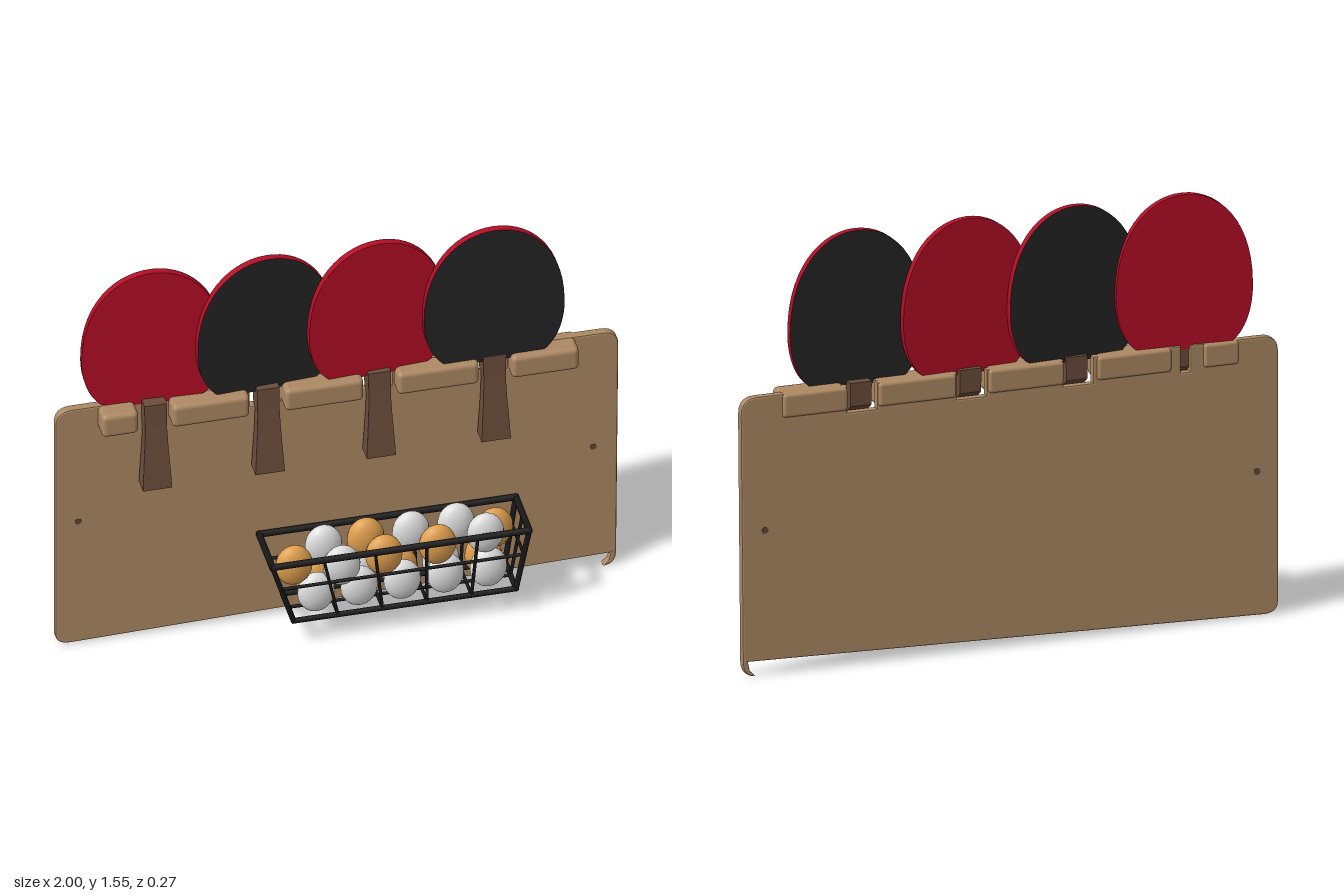
import * as THREE from 'three';
import { RoundedBoxGeometry } from 'three/addons/geometries/RoundedBoxGeometry.js';

const mat = (name, color) => {
  const m = new THREE.MeshStandardMaterial({ color });
  m.name = name;
  return m;
};

export function createModel() {
  const model = new THREE.Group();
  model.name = 'paddleRack';
  const wood = mat('wood', 0xad8963);
  const handleWood = mat('handle wood', 0x6a4d3b);
  const red = mat('red rubber', 0xb30d24);
  const black = mat('black rubber', 0x242424);
  const wire = mat('wire', 0x181818);
  const white = mat('white ball', 0xdedede);
  const orange = mat('orange ball', 0xdf9f4e);
  const hole = mat('screw hole', 0x5f4a36);

  const add = (name, geometry, material, parent = model, x = 0, y = 0, z = 0) => {
    const mesh = new THREE.Mesh(geometry, material);
    mesh.name = name;
    mesh.position.set(x, y, z);
    parent.add(mesh);
    return mesh;
  };

  // Paddles: centre x, blade z, blade turn, face colour, slot width in the board
  const paddles = [
    { x: -0.655, z: -0.097, turn: -0.045, face: red, slot: 0.035 },
    { x: -0.255, z: -0.08, turn: 0.065, face: black, slot: 0.11 },
    { x: 0.14, z: -0.075, turn: 0.065, face: red, slot: 0.11 },
    { x: 0.548, z: -0.058, turn: 0.01, face: black, slot: 0.11 },
  ];

  // Back board with slots along the top, slanted bottom edge and a corner hook
  const board = new THREE.Shape();
  board.moveTo(-0.95, 0.005);
  board.lineTo(0.972, 0.055);
  board.lineTo(0.965, 0.022);
  board.lineTo(0.945, 0.002);
  board.quadraticCurveTo(0.988, 0, 0.992, 0.05);
  board.lineTo(1, 0.95);
  board.quadraticCurveTo(1, 1.01, 0.94, 1.01);
  for (const p of [...paddles].reverse()) {
    board.lineTo(p.x + p.slot / 2, 1.01);
    board.lineTo(p.x + p.slot / 2, 0.915);
    board.lineTo(p.x - p.slot / 2, 0.915);
    board.lineTo(p.x - p.slot / 2, 1.01);
  }
  board.lineTo(-0.94, 1.01);
  board.quadraticCurveTo(-1, 1.01, -1, 0.95);
  board.lineTo(-1, 0.05);
  board.quadraticCurveTo(-1, 0.005, -0.95, 0.005);
  add('backBoard', new THREE.ExtrudeGeometry(board, {
    depth: 0.02, bevelThickness: 0.006, bevelSize: 0.006, bevelOffset: -0.006,
    bevelSegments: 2, curveSegments: 6,
  }), wood, model, 0, 0, -0.114);

  // Screw holes on both faces of the board
  for (const x of [-0.92, 0.91]) {
    const disc = new THREE.CylinderGeometry(0.012, 0.012, 0.036, 10).rotateX(Math.PI / 2);
    add('screwHole', disc, hole, model, x, 0.525, -0.104);
  }

  // Rail blocks between the slots, with a thinner ridge behind each
  const blocks = [[-0.85, -0.72], [-0.6, -0.325], [-0.2, 0.08], [0.2, 0.49], [0.605, 0.845]];
  for (const [a, b] of blocks) {
    add('railBlock', new RoundedBoxGeometry(b - a, 0.092, 0.082, 2, 0.018), wood,
      model, (a + b) / 2, 0.965, -0.059);
    add('railRidge', new RoundedBoxGeometry(b - a, 0.085, 0.03, 2, 0.012), wood,
      model, (a + b) / 2, 0.967, -0.117);
  }

  // Blade outline, rounded on top and nearly flat at the base
  const blade = new THREE.Shape();
  blade.moveTo(-0.15, 0.995);
  blade.lineTo(0.15, 0.995);
  blade.bezierCurveTo(0.22, 1.02, 0.253, 1.12, 0.25, 1.215);
  blade.bezierCurveTo(0.248, 1.43, 0.135, 1.555, 0, 1.555);
  blade.bezierCurveTo(-0.135, 1.555, -0.248, 1.43, -0.25, 1.215);
  blade.bezierCurveTo(-0.253, 1.12, -0.22, 1.02, -0.15, 0.995);
  const bladeGeometry = new THREE.ExtrudeGeometry(blade, {
    depth: 0.026, bevelEnabled: false, curveSegments: 14,
  }).translate(0, 0, -0.013);

  // Handle: box flared by height, leaning back into the slot at its throat
  const handleGeometry = new THREE.BoxGeometry(1, 1, 1, 1, 5, 1);
  const rows = [ // y, half width, back z, front z
    [0.67, 0.052, -0.078, -0.015], [0.74, 0.048, -0.077, -0.02], [0.84, 0.042, -0.077, -0.03],
    [0.91, 0.039, -0.08, -0.036], [0.93, 0.039, -0.106, -0.038], [1.015, 0.04, -0.108, -0.042],
  ];
  const hp = handleGeometry.attributes.position;
  for (let i = 0; i < hp.count; i++) {
    const [y, w, back, front] = rows[Math.round((hp.getY(i) + 0.5) * 5)];
    hp.setXYZ(i, Math.sign(hp.getX(i)) * w, y, hp.getZ(i) > 0 ? front : back);
  }
  const flatHandle = handleGeometry.toNonIndexed();
  flatHandle.computeVertexNormals();

  for (const p of paddles) {
    const paddle = new THREE.Group();
    paddle.name = 'paddle';
    paddle.position.x = p.x;
    model.add(paddle);
    add('blade', bladeGeometry, [p.face, red], paddle, 0, 0, p.z).rotation.y = p.turn;
    add('handle', flatHandle, handleWood, paddle);
  }

  // Wire basket: interpolate between the bottom and top rectangles
  const basket = new THREE.Group();
  basket.name = 'basket';
  model.add(basket);
  const mix = THREE.MathUtils.lerp;
  // u and v run 0..1 across x and z, t runs 0..1 from floor to rim
  const at = (u, v, t) => new THREE.Vector3(
    mix(mix(-0.2, -0.28, t), mix(0.59, 0.632, t), u),
    mix(0.106, 0.366, t),
    mix(mix(-0.06, -0.075, t), mix(0.1, 0.122, t), v));
  const up = new THREE.Vector3(0, 1, 0);
  const rod = (name, a, b, r) => {
    const d = b.clone().sub(a);
    const mesh = add(name, new THREE.CylinderGeometry(r, r, d.length() + r, 6), wire, basket);
    mesh.position.copy(a).add(b).multiplyScalar(0.5);
    mesh.quaternion.setFromUnitVectors(up, d.normalize());
  };
  const corners = [[0, 0], [1, 0], [1, 1], [0, 1]];
  for (const [t, r] of [[0, 0.01], [0.59, 0.006], [1, 0.012]]) {
    corners.forEach(([u, v], i) => {
      const [u2, v2] = corners[(i + 1) % 4];
      rod('basketRing', at(u, v, t), at(u2, v2, t), r);
    });
  }
  for (const [u, v] of corners) rod('basketCorner', at(u, v, 0), at(u, v, 1), 0.01);
  for (let i = 1; i < 5; i++) {
    for (const v of [0, 1]) rod('basketUpright', at(i / 5, v, 0), at(i / 5, v, 1), 0.006);
    rod('basketFloorWire', at(i / 5, 0, 0), at(i / 5, 1, 0), 0.006);
  }
  for (const u of [0, 1]) rod('basketUpright', at(u, 0.5, 0), at(u, 0.5, 1), 0.006);
  rod('basketFloorWire', at(0, 0.5, 0), at(1, 0.5, 0), 0.006);

  // Balls, taller than wide: x, y, z, colour
  const ballGeometry = new THREE.SphereGeometry(1, 18, 12).scale(0.066, 0.08, 0.04);
  const balls = [
    [-0.19, 0.32, 0.064, orange], [-0.02, 0.29, 0.064, white], [0.13, 0.31, 0.064, orange],
    [0.32, 0.32, 0.064, orange], [0.49, 0.34, 0.064, white],
    [-0.07, 0.34, 0, white], [0.08, 0.345, 0, orange], [0.24, 0.345, 0, white],
    [0.4, 0.352, 0, white], [0.54, 0.3, -0.01, orange],
  ];
  for (let i = 0; i < 5; i++) {
    balls.push([-0.11 + i * 0.153, 0.186, 0.058, white]);
    balls.push([-0.1 + i * 0.15, 0.19, -0.012, i % 2 ? white : orange]);
  }
  for (const [x, y, z, colour] of balls) add('ball', ballGeometry, colour, model, x, y, z);

  return model;
}
